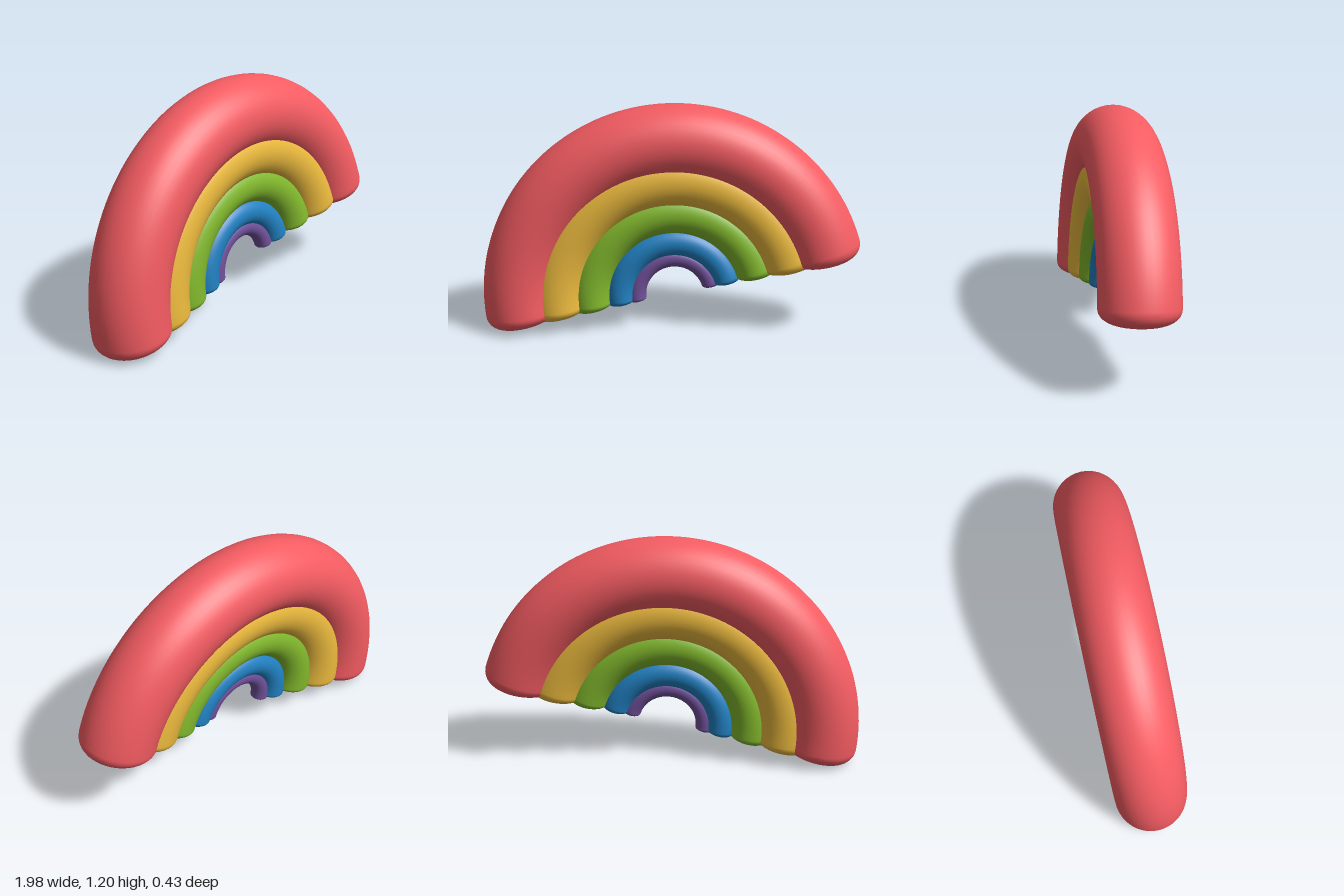
import * as THREE from 'three';

const SIDES = 40, ARC_STEPS = 72, CAP_STEPS = 10;

// Half-ring tube with softly domed, round-cornered ends.
function archGeometry(radius, tube) {
  const rings = []; // [angle along the arch, tube radius]
  const cap = 0.4 * tube / radius;
  for (let i = 0; i < CAP_STEPS; i++) {
    const a = (1 - i / CAP_STEPS) * Math.PI / 2;
    const size = i === 0 ? 0 : tube * Math.pow(Math.cos(a), 0.6);
    rings.push([cap * (1 - Math.sin(a)), size]);
  }
  const ends = rings.map(([angle, size]) => [Math.PI - angle, size]).reverse();
  for (let i = 0; i <= ARC_STEPS; i++) {
    rings.push([cap + (Math.PI - 2 * cap) * i / ARC_STEPS, tube]);
  }
  rings.push(...ends);

  const positions = [], index = [];
  rings.forEach(([angle, size], r) => {
    for (let j = 0; j < SIDES; j++) {
      const b = j / SIDES * Math.PI * 2;
      const d = radius + size * Math.cos(b);
      positions.push(d * Math.cos(angle), d * Math.sin(angle), size * Math.sin(b));
      if (r === rings.length - 1) continue;
      const p = r * SIDES + j, q = r * SIDES + (j + 1) % SIDES;
      index.push(p, p + SIDES, q, q, p + SIDES, q + SIDES);
    }
  });
  const geometry = new THREE.BufferGeometry();
  geometry.setAttribute('position', new THREE.Float32BufferAttribute(positions, 3));
  geometry.setIndex(index);
  geometry.computeVertexNormals();
  return geometry;
}

export function createModel() {
  const model = new THREE.Group();
  model.name = 'rainbow';

  // Overlapping bands, outermost first: name, arch radius, tube radius, color
  const bands = [
    ['redBand', 0.817, 0.195, 0xf45c62],
    ['yellowBand', 0.622, 0.153, 0xedbb3e],
    ['greenBand', 0.443, 0.111, 0x82b92d],
    ['blueBand', 0.286, 0.076, 0x2181c2],
    ['purpleBand', 0.199, 0.048, 0x70509a],
  ];
  const arches = new THREE.Group();
  arches.name = 'arches';
  for (const [name, radius, tube, color] of bands) {
    const mesh = new THREE.Mesh(archGeometry(radius, tube), new THREE.MeshStandardMaterial({ color }));
    mesh.name = name;
    arches.add(mesh);
  }

  // Tipped up on one side and leaning slightly back
  arches.rotation.set(-0.049, 0, 0.212, 'ZYX');
  arches.position.set(0.012, 0.194, 0.02);
  model.add(arches);
  return model;
}
